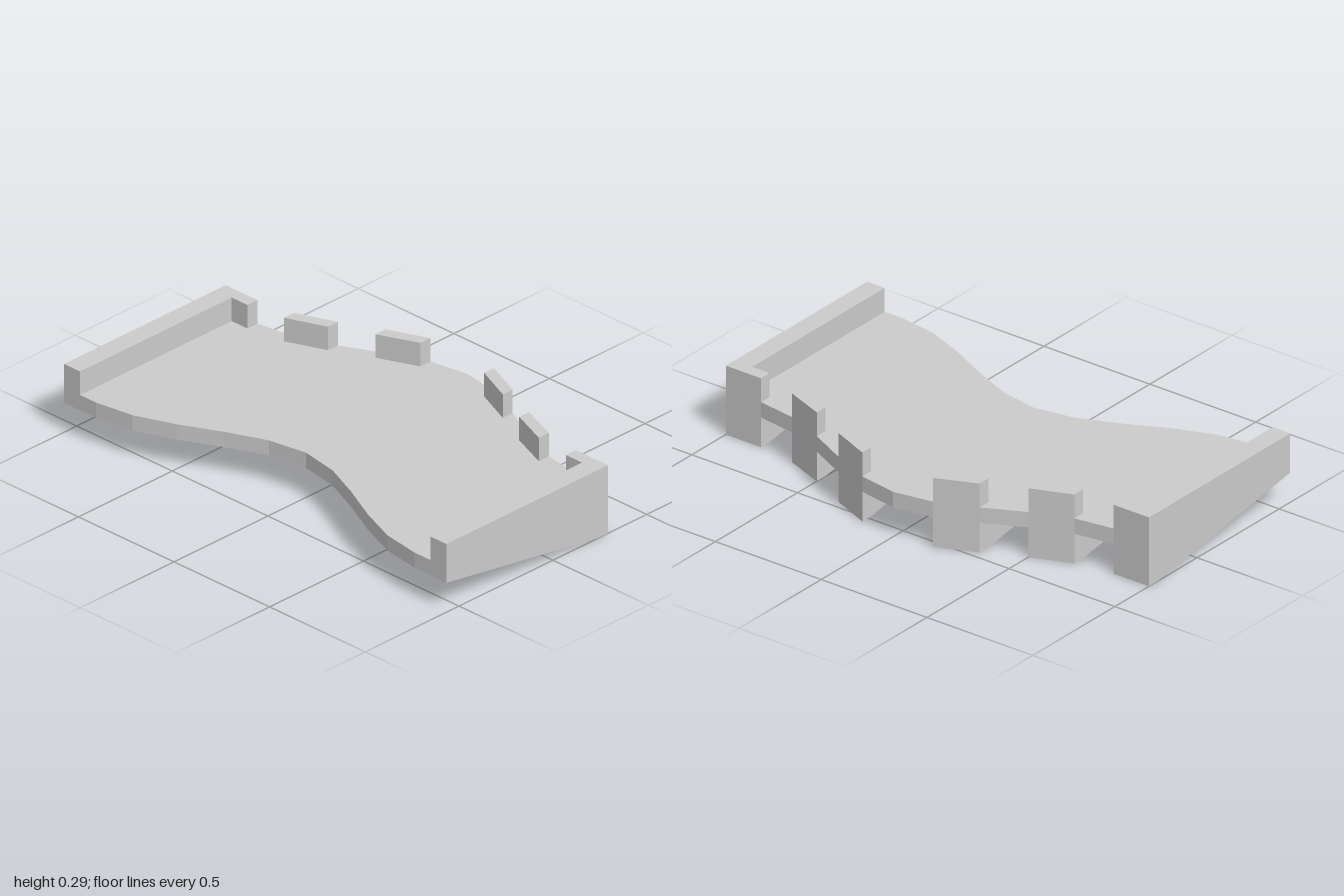
import * as THREE from 'three';

const DEPTH = 0.86;     // back edge to front edge
const RIM = 0.053;      // thickness of the front parapet
const FLOOR = 0.19;     // top of the slab
const UNDER = 0.125;    // underside of the slab
const TOP = 0.29;       // top of the parapet
const STEP = 1 / 6;     // spacing of the stations along z

// front edge x at each station, from the middle (z = 0) to the end (z = 1)
const EDGE = [0.564, 0.535, 0.465, 0.383, 0.318, 0.293, 0.293];
const edgeX = (i) => EDGE[Math.abs(i)];

const material = new THREE.MeshStandardMaterial({ color: 0xcccccc, flatShading: true });

function addMesh(parent, name, geometry) {
  const mesh = new THREE.Mesh(geometry, material);
  mesh.name = name;
  parent.add(mesh);
}

// side profile (x measured from the front edge) run from z0 to z1,
// sheared so that its front follows the edge from x0 to x1
function shearedPrism(profile, z0, z1, x0, x1) {
  const shape = new THREE.Shape(profile.map(([x, y]) => new THREE.Vector2(x, y)));
  const depth = z1 - z0;
  const geometry = new THREE.ExtrudeGeometry(shape, { depth, bevelEnabled: false });
  const p = geometry.attributes.position;
  for (let i = 0; i < p.count; i++) {
    const t = p.getZ(i) / depth;
    p.setX(i, p.getX(i) + x0 + (x1 - x0) * t);
    p.setZ(i, z0 + depth * t);
  }
  geometry.computeVertexNormals();
  return geometry;
}

export function createModel() {
  const group = new THREE.Group();
  group.name = 'balcony';

  // wavy floor slab, outlined in plan and laid flat
  const outline = [];
  for (let i = -6; i <= 6; i++) outline.push(new THREE.Vector2(edgeX(i), i * STEP));
  for (let i = 6; i >= -6; i--) outline.push(new THREE.Vector2(edgeX(i) - DEPTH, i * STEP));
  const slab = new THREE.ExtrudeGeometry(new THREE.Shape(outline), {
    depth: FLOOR - UNDER, bevelEnabled: false,
  });
  slab.rotateX(Math.PI / 2);
  slab.translate(0, FLOOR, 0);
  addMesh(group, 'floorSlab', slab);

  // tapering brackets below and battlements above, on alternate segments
  const bracket = [[0, UNDER], [-DEPTH, UNDER], [-RIM, 0], [0, 0]];
  const battlement = [[0, FLOOR], [0, TOP], [-RIM, TOP], [-RIM, FLOOR]];
  for (const i of [-6, -4, -2, 1, 3, 5]) {
    const span = [i * STEP, (i + 1) * STEP, edgeX(i), edgeX(i + 1)];
    addMesh(group, 'bracket', shearedPrism(bracket, ...span));
    addMesh(group, 'battlement', shearedPrism(battlement, ...span));
  }

  // end walls, butting against the corner battlements
  const wallLength = DEPTH - RIM;
  for (const side of [-1, 1]) {
    const wall = new THREE.BoxGeometry(wallLength, TOP - FLOOR, STEP / 2);
    wall.translate(EDGE[6] - RIM - wallLength / 2, (TOP + FLOOR) / 2, side * (1 - STEP / 4));
    addMesh(group, 'endWall', wall);
  }
  return group;
}
